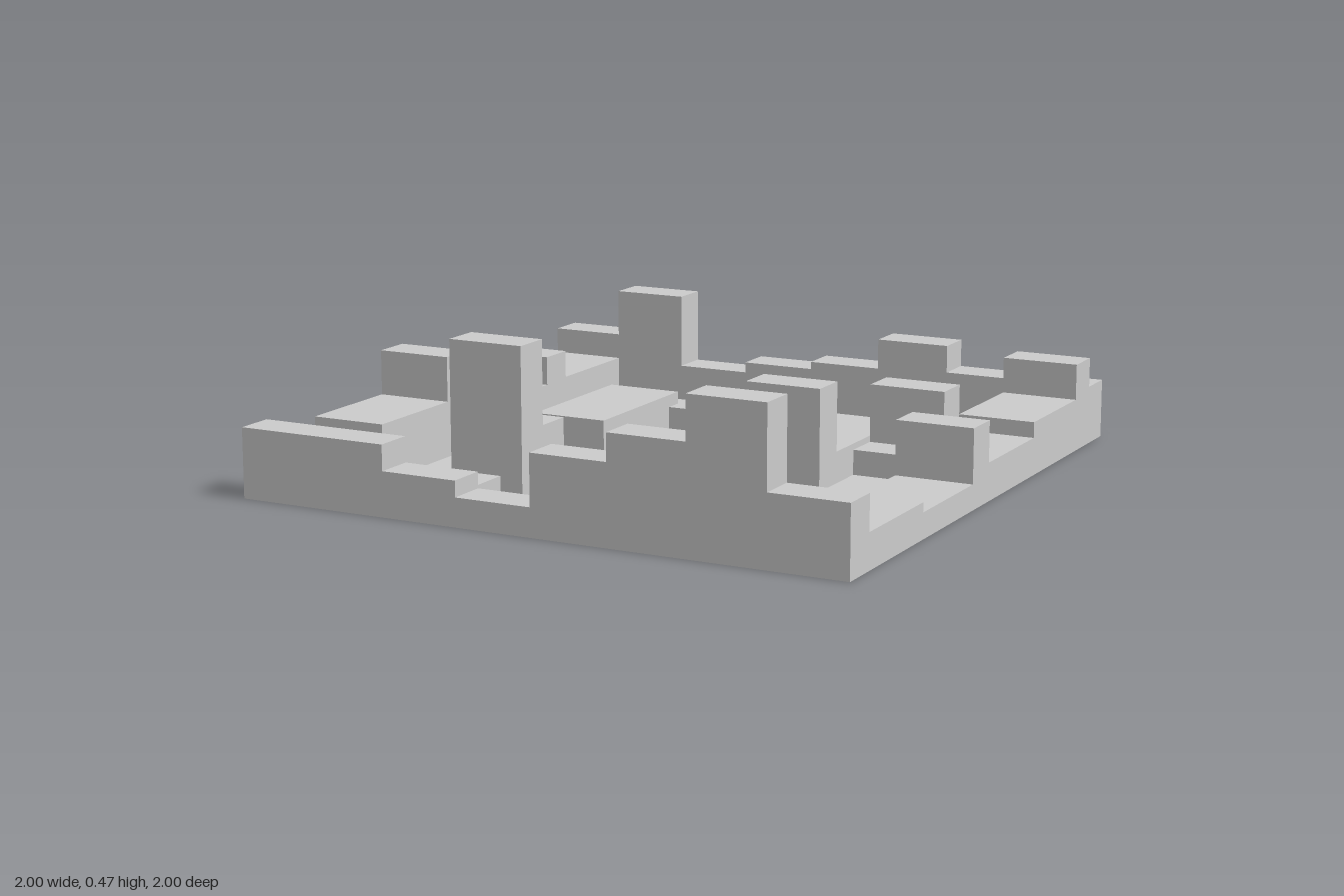
import * as THREE from 'three';

// Stepped shell on a grid of 8 x 16 cells: open underneath, floor at y = 0.
const NX = 8, NZ = 16, DX = 2 / NX, DZ = 2 / NZ;

export function createModel() {
  const group = new THREE.Group();
  const material = new THREE.MeshStandardMaterial({
    color: 0xcccccc, flatShading: true, side: THREE.DoubleSide,
  });
  const height = Array.from({ length: NX }, () => new Array(NZ).fill(0));
  const part = Array.from({ length: NX }, () => new Array(NZ).fill('floor'));

  // Raise the cells i0..i1-1, k0..k1-1 (i along x, k along z from the back).
  const raise = (name, i0, i1, k0, k1, h) => {
    for (let i = i0; i < i1; i++) for (let k = k0; k < k1; k++) {
      height[i][k] = h;
      part[i][k] = name;
    }
  };

  // Border walls
  [0.21, 0.365, 0.12, 0.155, 0.18, 0.28, 0.19, 0.19]
    .forEach((h, i) => raise('backWall', i, i + 1, 0, 1, h));
  [0.22, 0.22, 0.14, 0.09, 0.25, 0.335, 0.47, 0.22]
    .forEach((h, i) => raise('frontWall', i, i + 1, 15, 16, h));
  // [first cell, end cell, height] from back to front
  [[1, 4, 0.125], [4, 5, 0.215], [5, 7, 0.12], [7, 9, 0.22], [9, 10, 0.325],
    [10, 13, 0.18], [13, 15, 0.115]]
    .forEach(([a, b, h]) => raise('rightWall', 0, 1, a, b, h));
  [[1, 2, 0.285], [2, 5, 0.17], [5, 8, 0.12], [8, 9, 0.25], [9, 12, 0.08], [12, 15, 0.11]]
    .forEach(([a, b, h]) => raise('leftWall', 7, 8, a, b, h));

  // Blocks standing on the floor
  raise('longBlock', 2, 3, 5, 9, 0.145);
  raise('towerFoot', 5, 6, 4, 8, 0.1);
  raise('middleTower', 5, 6, 8, 9, 0.32);
  raise('sideBlock', 6, 7, 5, 6, 0.265);
  raise('sideStep', 6, 7, 6, 7, 0.08);
  raise('towerStep', 2, 3, 11, 12, 0.205);
  raise('tallTower', 2, 3, 12, 13, 0.47);
  raise('frontTower', 5, 6, 12, 13, 0.335);
  raise('frontStep', 2, 3, 14, 15, 0.1);

  // Collect quads per part: the top of each cell and its drops to lower neighbours.
  const points = {};
  const quad = (name, a, b, c, d) => (points[name] ??= []).push(...a, ...b, ...c, ...a, ...c, ...d);

  for (let i = 0; i < NX; i++) for (let k = 0; k < NZ; k++) {
    const h = height[i][k], name = part[i][k];
    const x0 = -1 + i * DX, x1 = x0 + DX, z0 = -1 + k * DZ, z1 = z0 + DZ;
    quad(name, [x0, h, z1], [x1, h, z1], [x1, h, z0], [x0, h, z0]);
    const sides = [
      [0, 1, x0, z1, x1, z1], [1, 0, x1, z1, x1, z0],
      [0, -1, x1, z0, x0, z0], [-1, 0, x0, z0, x0, z1],
    ];
    for (const [di, dk, ax, az, bx, bz] of sides) {
      const low = height[i + di]?.[k + dk] ?? 0;
      if (low < h) quad(name, [ax, low, az], [bx, low, bz], [bx, h, bz], [ax, h, az]);
    }
  }

  for (const [name, list] of Object.entries(points)) {
    const geometry = new THREE.BufferGeometry();
    geometry.setAttribute('position', new THREE.Float32BufferAttribute(list, 3));
    geometry.computeVertexNormals();
    const mesh = new THREE.Mesh(geometry, material);
    mesh.name = name;
    group.add(mesh);
  }
  return group;
}
